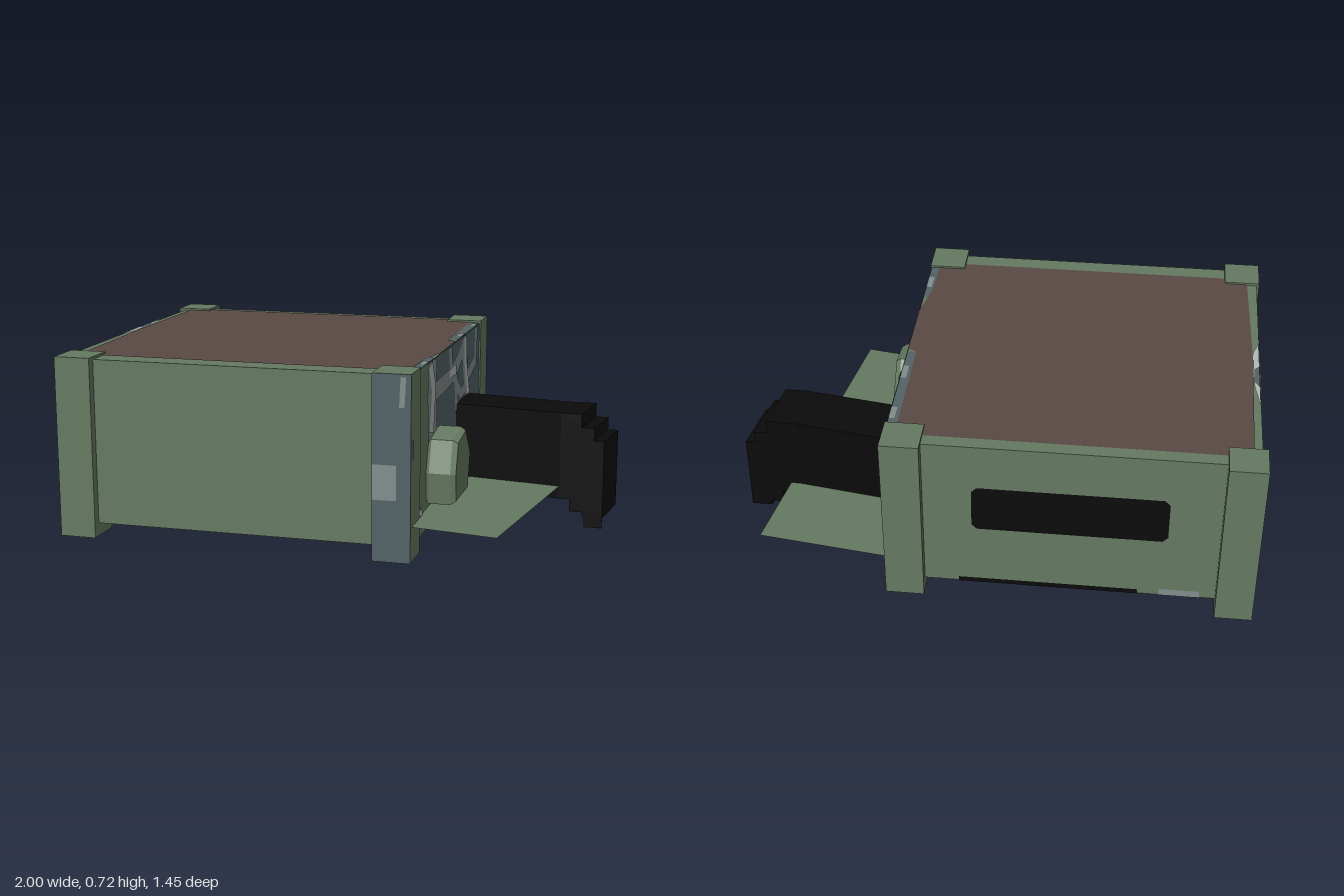
import * as THREE from 'three';

const mat = (name, color) => new THREE.MeshStandardMaterial({ name, color, side: THREE.DoubleSide });

export function createModel() {
  const root = new THREE.Group();
  const green = mat('green', 0x657961);
  const brown = mat('brown', 0x5b4a45);
  const black = mat('black', 0x0b0b0b);
  const slate = mat('slate', 0x516266);
  const grey = mat('grey', 0x828d8d);
  const pale = mat('pale', 0xb4b8b7);

  const add = (name, geo, material) => {
    const m = new THREE.Mesh(geo, material);
    m.name = name;
    root.add(m);
    return m;
  };
  // box from its limits
  const box = (name, material, x0, x1, y0, y1, z0, z1) =>
    add(name, new THREE.BoxGeometry(x1 - x0, y1 - y0, z1 - z0)
      .translate((x0 + x1) / 2, (y0 + y1) / 2, (z0 + z1) / 2), material);
  const toShape = pts => new THREE.Shape(pts.map(p => new THREE.Vector2(p[0], p[1])));

  // flat painted patch on the plane axis = at; points are (z,y), (x,z) or (x,y)
  const patch = (name, material, axis, at, pts) => {
    const geo = new THREE.ShapeGeometry(toShape(pts));
    const p = geo.attributes.position;
    for (let i = 0; i < p.count; i++) {
      const a = p.getX(i), b = p.getY(i);
      if (axis === 'x') p.setXYZ(i, at, b, a);
      else if (axis === 'y') p.setXYZ(i, a, at, b);
      else p.setXYZ(i, a, b, at);
    }
    geo.computeVertexNormals();
    return add(name, geo, material);
  };
  const rect = (a0, a1, b0, b1) => [[a0, b0], [a1, b0], [a1, b1], [a0, b1]];

  // outline of a thick line, kept inside the wall
  const stroke = (pts, w) => {
    const left = [], right = [];
    pts.forEach((p, i) => {
      const q = pts[Math.max(i - 1, 0)], r = pts[Math.min(i + 1, pts.length - 1)];
      const dx = r[0] - q[0], dy = r[1] - q[1], l = Math.hypot(dx, dy);
      const nx = -dy / l * w / 2, ny = dx / l * w / 2;
      left.push([p[0] + nx, Math.min(p[1] + ny, 0.71)]);
      right.unshift([p[0] - nx, Math.min(p[1] - ny, 0.71)]);
    });
    return left.concat(right);
  };

  // main body
  box('body', green, -0.98, 0.368, 0.08, 0.71, -0.68, 0.655);
  patch('roofPanel', brown, 'y', 0.713, [[-0.95, -0.63], [0.33, -0.63], [0.335, -0.1],
    [0.369, -0.08], [0.369, 0.2], [0.34, 0.35], [0.335, 0.58], [-0.94, 0.58], [-0.955, 0]]);

  // corner posts
  box('frontRightPost', green, -0.99, -0.85, 0.03, 0.72, 0.54, 0.69);
  box('frontLeftPost', green, 0.23, 0.373, 0.03, 0.72, 0.54, 0.69);
  box('backRightPost', green, -1, -0.86, 0.03, 0.72, -0.73, -0.59);
  box('backLeftPost', green, 0.23, 0.375, 0.03, 0.72, -0.72, -0.573);

  // camouflage on the front left post
  patch('postCamo', slate, 'z', 0.692, rect(0.23, 0.373, 0.03, 0.72));
  patch('postCamoSpot', grey, 'z', 0.694, rect(0.23, 0.32, 0.26, 0.39));
  patch('postCamoStreak', grey, 'z', 0.694, [[0.33, 0.6], [0.35, 0.6], [0.355, 0.71], [0.335, 0.71]]);
  patch('postCamoSide', slate, 'x', 0.375, rect(0.655, 0.69, 0.41, 0.48));

  // camouflage on the left wall
  patch('wallCamo', slate, 'x', 0.37, [[0.42, 0.71], [-0.57, 0.71], [-0.57, 0.155],
    [0.17, 0.155], [0.15, 0.3], [0.24, 0.42], [0.38, 0.42], [0.41, 0.55]]);
  [
    [[[0.35, 0.71], [0.35, 0.58], [0.33, 0.42]], 0.15],
    [[[0.35, 0.58], [0, 0.59], [-0.12, 0.62], [-0.26, 0.68]], 0.07],
    [[[0.03, 0.71], [0, 0.6], [-0.08, 0.56], [-0.11, 0.43]], 0.06],
    [[[-0.23, 0.71], [-0.27, 0.57], [-0.33, 0.43]], 0.09],
    [[[-0.49, 0.71], [-0.48, 0.57], [-0.33, 0.53]], 0.06],
    [[[-0.06, 0.56], [-0.19, 0.48], [-0.3, 0.5]], 0.05],
  ].forEach(([pts, w]) => patch('wallCamoBand', grey, 'x', 0.372, stroke(pts, w)));
  [
    [[[0.385, 0.71], [0.33, 0.6], [0.36, 0.44]], 0.07],
    [[[0.04, 0.6], [-0.02, 0.605], [-0.08, 0.6]], 0.04],
    [[[-0.25, 0.71], [-0.27, 0.58], [-0.34, 0.43]], 0.05],
    [[[0.21, 0.19], [0.17, 0.16]], 0.04],
    [[[0.54, 0.19], [0.51, 0.16]], 0.03],
  ].forEach(([pts, w]) => patch('wallCamoHighlight', pale, 'x', 0.374, stroke(pts, w)));

  // camouflage wrapping over the roof edges
  patch('roofEdgeCamo', slate, 'y', 0.712, rect(0.33, 0.368, -0.57, -0.1));
  patch('roofEdgeCamo', slate, 'y', 0.712, rect(0.338, 0.368, 0.3, 0.54));
  [[-0.54, -0.47], [-0.28, -0.2], [0.38, 0.46]].forEach(([z0, z1]) =>
    patch('roofEdgeSpot', grey, 'y', 0.714, rect(0.345, 0.368, z0, z1)));
  patch('roofEdgeLight', pale, 'y', 0.714, [[-0.978, -0.32], [-0.958, -0.2], [-0.955, 0.03], [-0.978, 0.1]]);
  patch('roofEdgeSlate', slate, 'y', 0.715, [[-0.978, -0.2], [-0.96, -0.17], [-0.96, -0.08], [-0.978, -0.06]]);

  // right wall: door, vent, top camouflage and lower strip
  patch('sideDoor', brown, 'x', -0.983, rect(-0.32, -0.11, 0.12, 0.48));
  patch('sideDoorEdge', slate, 'x', -0.983, rect(-0.11, -0.095, 0.13, 0.46));
  patch('sideVent', pale, 'x', -0.983, [[0.22, 0.25], [0.24, 0.35], [0.33, 0.41], [0.385, 0.37],
    [0.37, 0.26], [0.27, 0.21]]);
  patch('sideCamo', grey, 'x', -0.982, [[-0.3, 0.71], [-0.2, 0.66], [0.1, 0.66], [0.19, 0.71]]);
  patch('sideCamoLight', pale, 'x', -0.984, [[-0.24, 0.71], [-0.16, 0.68], [0, 0.68], [0.06, 0.71]]);
  patch('sideStrip', black, 'x', -0.983, rect(-0.55, 0.54, 0.08, 0.125));

  // back wall: long window with clipped corners and lower strip
  patch('backWindow', black, 'z', -0.683, [[-0.65, 0.34], [0.03, 0.34], [0.05, 0.36], [0.05, 0.51],
    [0.03, 0.53], [-0.65, 0.53], [-0.67, 0.51], [-0.67, 0.36]]);
  patch('backStrip', black, 'z', -0.683, rect(-0.57, 0.1, 0.08, 0.1));
  patch('backCamo', grey, 'z', -0.683, rect(-0.8, -0.65, 0.08, 0.11));

  // dark patch on the underside
  patch('undersideCamo', slate, 'y', 0.077, [[0, -0.68], [-0.77, -0.68], [-0.78, -0.5],
    [-0.71, -0.15], [-0.58, -0.2], [-0.23, -0.48]]);

  // thin skewed side platform
  patch('platform', green, 'y', 0.16, [[0.36, -0.67], [0.88, -0.6], [0.69, 0.72], [0.36, 0.665]]);

  // six-sided bevelled hatch
  const hatch = new THREE.ExtrudeGeometry(
    toShape([[-0.42, 0.3], [-0.38, 0.41], [-0.245, 0.43], [-0.155, 0.325], [-0.192, 0.195], [-0.41, 0.195]]),
    { depth: 0.08, bevelEnabled: true, bevelThickness: 0.02, bevelSize: 0.012, bevelSegments: 1 });
  hatch.rotateY(Math.PI / 2).translate(0.38, 0, 0);
  add('hatch', hatch, green);

  // stepped barrel, slanting forward as far as the bend
  const barrel = new THREE.ExtrudeGeometry(
    toShape([[0.35, 0.11], [0.8, 0.11], [0.87, 0.11], [0.87, 0.06], [0.92, 0.06], [0.92, 0.04], [1, 0.04],
      [1, 0.35], [0.96, 0.35], [0.96, 0.4], [0.91, 0.4], [0.91, 0.455], [0.8, 0.455], [0.35, 0.455]]),
    { depth: 0.225, bevelEnabled: false });
  const p = barrel.attributes.position;
  for (let i = 0; i < p.count; i++) {
    const x = p.getX(i), z = p.getZ(i);
    p.setX(i, x > 0.85 ? x - z * 0.13 : x);
    p.setZ(i, z - 0.268 - 0.16 * Math.max(0.8 - x, 0));
  }
  barrel.computeVertexNormals();
  add('barrel', barrel, black);
  box('barrelFin', black, 0.9, 0.97, 0, 0.06, -0.055, -0.043);

  return root;
}
